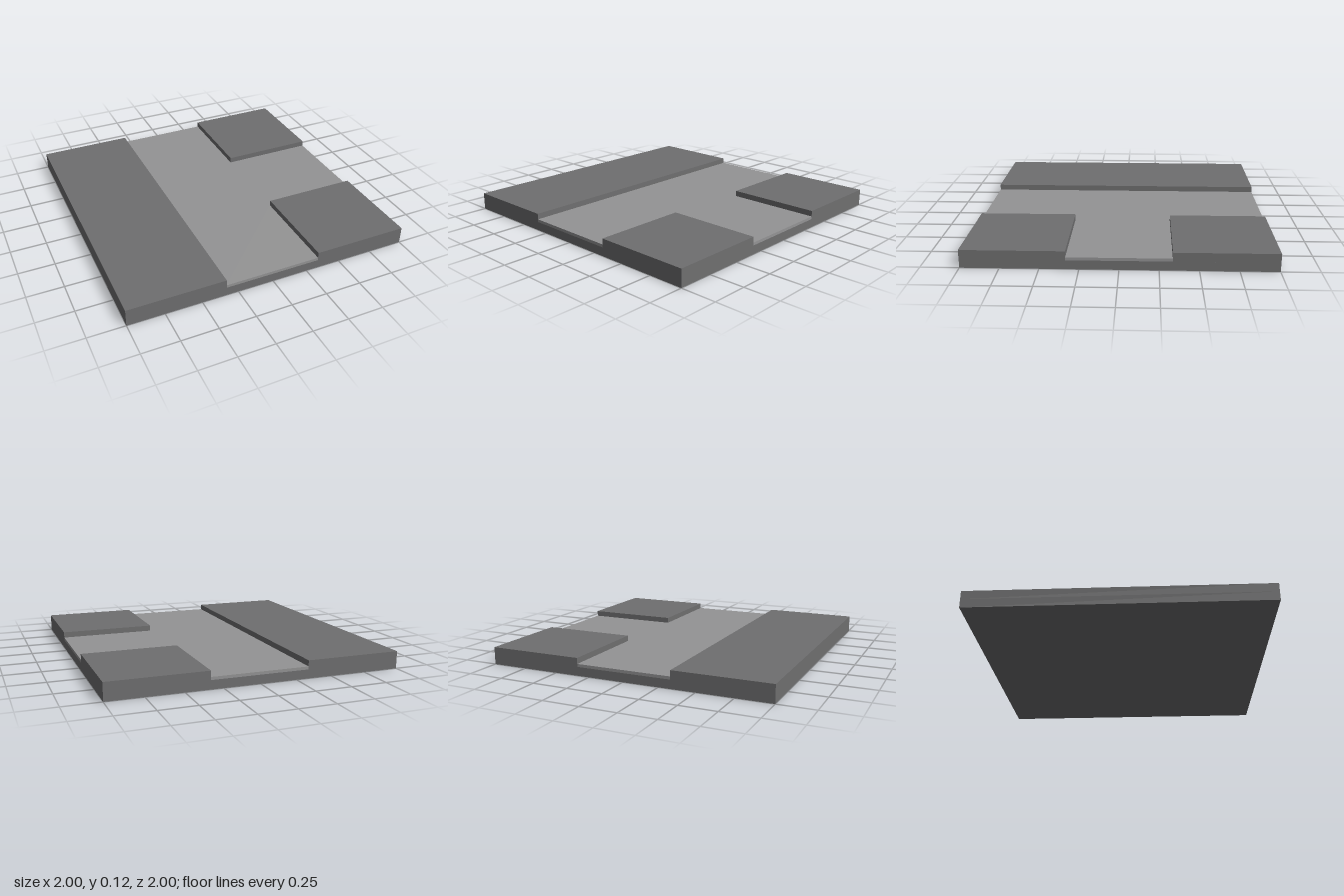
import * as THREE from 'three';

const HALF = 1, LANE = 1 / 3;
const BASE_TOP = 0.06, ROAD_TOP = 0.08, BLOCK_TOP = 0.12;

export function createModel() {
  const group = new THREE.Group();
  const stone = new THREE.MeshStandardMaterial({ color: 0x6f6f70 });
  const paving = new THREE.MeshStandardMaterial({ color: 0x949495 });

  // Box given by its lower and upper corners
  function slab(name, x0, x1, y0, y1, z0, z1) {
    const mesh = new THREE.Mesh(new THREE.BoxGeometry(x1 - x0, y1 - y0, z1 - z0), stone);
    mesh.position.set((x0 + x1) / 2, (y0 + y1) / 2, (z0 + z1) / 2);
    mesh.name = name;
    group.add(mesh);
  }

  // Square foundation
  slab('base', -HALF, HALF, 0, BASE_TOP, -HALF, HALF);

  // Raised blocks: one long strip and two corners beside the side lane
  slab('longBlock', -HALF, -LANE, BASE_TOP, BLOCK_TOP, -HALF, HALF);
  slab('backCornerBlock', LANE, HALF, BASE_TOP, BLOCK_TOP, -HALF, -LANE);
  slab('frontCornerBlock', LANE, HALF, BASE_TOP, BLOCK_TOP, LANE, HALF);

  // T-shaped lane set between the blocks
  const outline = new THREE.Shape([
    [-LANE, -HALF], [LANE, -HALF], [LANE, -LANE], [HALF, -LANE],
    [HALF, LANE], [LANE, LANE], [LANE, HALF], [-LANE, HALF],
  ].map(([x, y]) => new THREE.Vector2(x, y)));
  const laneGeometry = new THREE.ExtrudeGeometry(outline, {
    depth: ROAD_TOP - BASE_TOP, bevelEnabled: false,
  });
  laneGeometry.rotateX(-Math.PI / 2);
  const lane = new THREE.Mesh(laneGeometry, paving);
  lane.position.y = BASE_TOP;
  lane.name = 'lane';
  group.add(lane);

  return group;
}
